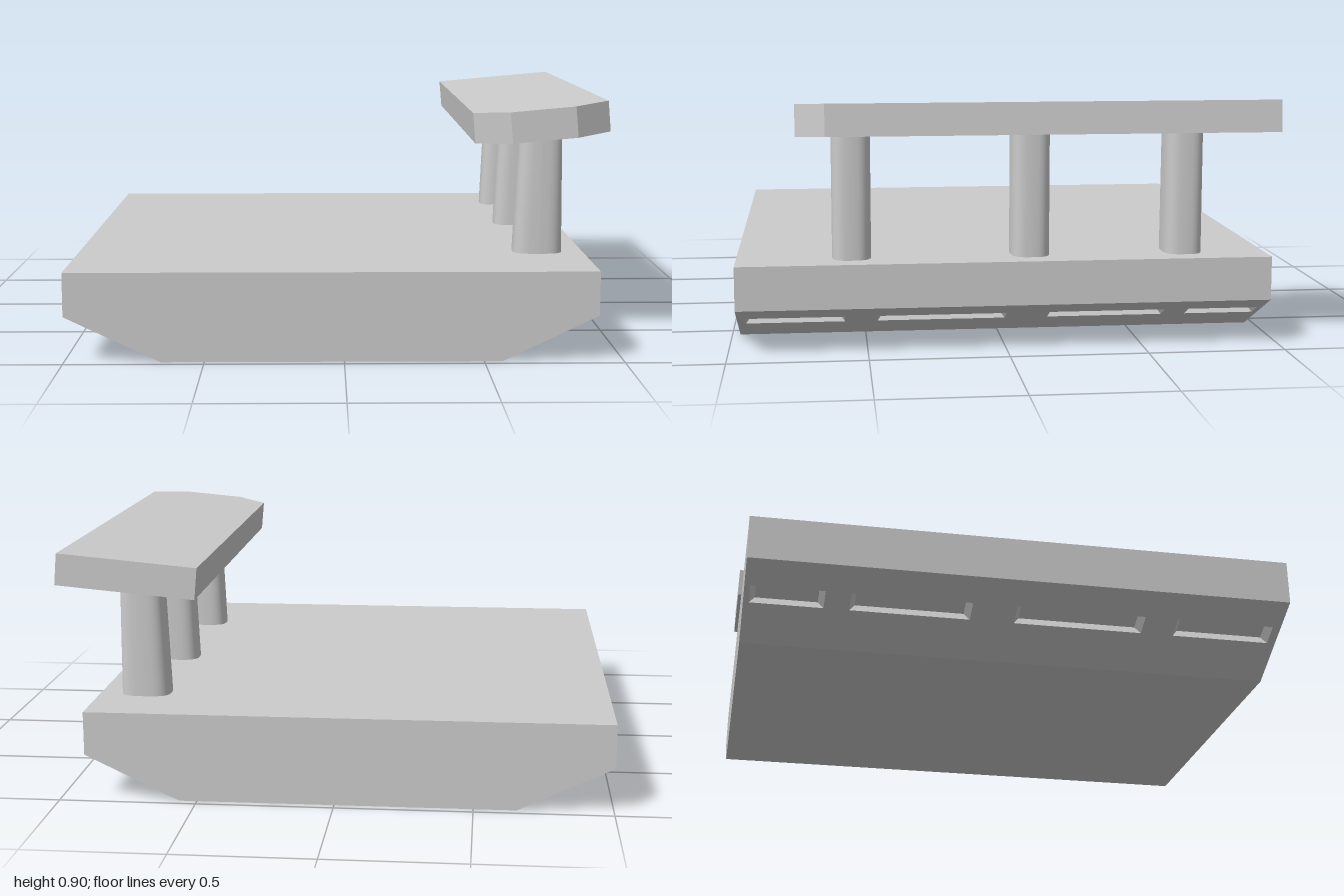
import * as THREE from 'three';

const material = new THREE.MeshStandardMaterial({ color: 0xcccccc, flatShading: true });
const smoothMaterial = new THREE.MeshStandardMaterial({ color: 0xcccccc });

const DECK = { x: -0.045, half: 0.955, foot: 0.61, knee: 0.165, top: 0.325, z: 0.97 };

// Block with bevelled undersides, each bevel cut by a row of shallow slots
function deckGeometry() {
  const { half, foot, knee, top, z: Z } = DECK;
  const pos = [];
  // Convex face from corners in counter-clockwise order; sign -1 mirrors it in x
  const face = (corners, sign = 1) => {
    for (let i = 1; i < corners.length - 1; i++) {
      const tri = [corners[0], corners[i], corners[i + 1]];
      if (sign < 0) tri.reverse();
      tri.forEach(([x, y, z]) => pos.push(x * sign, y, z));
    }
  };

  // Top, bottom and ends
  face([[-half, top, Z], [half, top, Z], [half, top, -Z], [-half, top, -Z]]);
  face([[-foot, 0, -Z], [foot, 0, -Z], [foot, 0, Z], [-foot, 0, Z]]);
  const section = [[-foot, 0], [foot, 0], [half, knee], [half, top], [-half, top], [-half, knee]];
  face(section.map(([x, y]) => [x, y, Z]));
  face(section.map(([x, y]) => [x, y, -Z]).reverse());

  // Point on the bevel: s runs from foot to knee, depth goes into the block
  const run = half - foot, len = Math.hypot(run, knee);
  const bevel = (s, z, depth = 0) => [
    foot + run * s - (knee / len) * depth, knee * s + (run / len) * depth, z,
  ];

  // Slots as z ranges
  const slots = [[0.58, 0.94], [-0.01, 0.46], [-0.6, -0.17], [-0.95, -0.69]];
  const s0 = 0.49, s1 = 0.69, depth = 0.03, taper = 0.02;
  const outline = new THREE.Shape([[0, -Z], [1, -Z], [1, Z], [0, Z]].map(p => new THREE.Vector2(...p)));
  for (const [a, b] of slots) {
    outline.holes.push(new THREE.Path([[s0, a], [s0, b], [s1, b], [s1, a]].map(p => new THREE.Vector2(...p))));
  }
  const sheet = new THREE.ShapeGeometry(outline).toNonIndexed().attributes.position;

  for (const sign of [1, -1]) {
    face([[half, knee, Z], [half, knee, -Z], [half, top, -Z], [half, top, Z]], sign);
    for (let i = 0; i < sheet.count; i += 3) {
      face([0, 1, 2].map(k => bevel(sheet.getX(i + k), sheet.getY(i + k))), sign);
    }
    for (const [a, b] of slots) {
      const rim = [[s0, a], [s1, a], [s1, b], [s0, b]].map(p => bevel(...p));
      const floor = [[s0, a + taper], [s1, a + taper], [s1, b - taper], [s0, b - taper]]
        .map(([s, z]) => bevel(s, z, depth));
      for (let i = 0; i < 4; i++) {
        const j = (i + 1) % 4;
        face([rim[i], rim[j], floor[j], floor[i]], sign);
      }
      face(floor, sign);
    }
  }

  const geometry = new THREE.BufferGeometry();
  geometry.setAttribute('position', new THREE.Float32BufferAttribute(pos, 3));
  geometry.computeVertexNormals();
  return geometry;
}

// Rounded-rectangle column, narrowing in x towards the top
function postGeometry(y0, y1) {
  const geometry = new THREE.CylinderGeometry(1, 1, y1 - y0, 32, 1, true);
  const p = geometry.attributes.position;
  const soften = v => Math.sign(v) * Math.abs(v) ** 0.65;
  for (let i = 0; i < p.count; i++) {
    const upper = p.getY(i) > 0;
    const halfX = upper ? 0.08 : 0.0925;
    const midX = upper ? 0.745 : 0.7375;
    p.setXYZ(i, midX + halfX * soften(p.getX(i)), upper ? y1 : y0, 0.071 * soften(p.getZ(i)));
  }
  geometry.computeVertexNormals();
  return geometry;
}

// Tilted slab with clipped front corners
function slabGeometry() {
  const w = 0.252, thickness = 0.115;
  const plan = [[-w, 0.97], [w, 0.97], [w, -0.645], [0.115, -0.75], [-0.125, -0.75], [-w, -0.645]];
  const shape = new THREE.Shape(plan.map(([x, z]) => new THREE.Vector2(x, z)));
  return new THREE.ExtrudeGeometry(shape, { depth: thickness, bevelEnabled: false })
    .translate(0, 0, -thickness / 2)
    .rotateX(-Math.PI / 2);
}

export function createModel() {
  const model = new THREE.Group();
  const add = (name, geometry, mat = material) => {
    const mesh = new THREE.Mesh(geometry, mat);
    mesh.name = name;
    model.add(mesh);
    return mesh;
  };

  add('deck', deckGeometry()).position.x = DECK.x;

  const slab = add('raisedSlab', slabGeometry());
  slab.position.set(0.7375, 0.825, 0);
  slab.rotation.z = 0.09;

  // Three posts between deck and slab
  const post = postGeometry(DECK.top, 0.79);
  [0.553, -0.1, -0.667].forEach((z, i) => {
    add(`post${i + 1}`, post, smoothMaterial).position.z = z;
  });

  return model;
}
